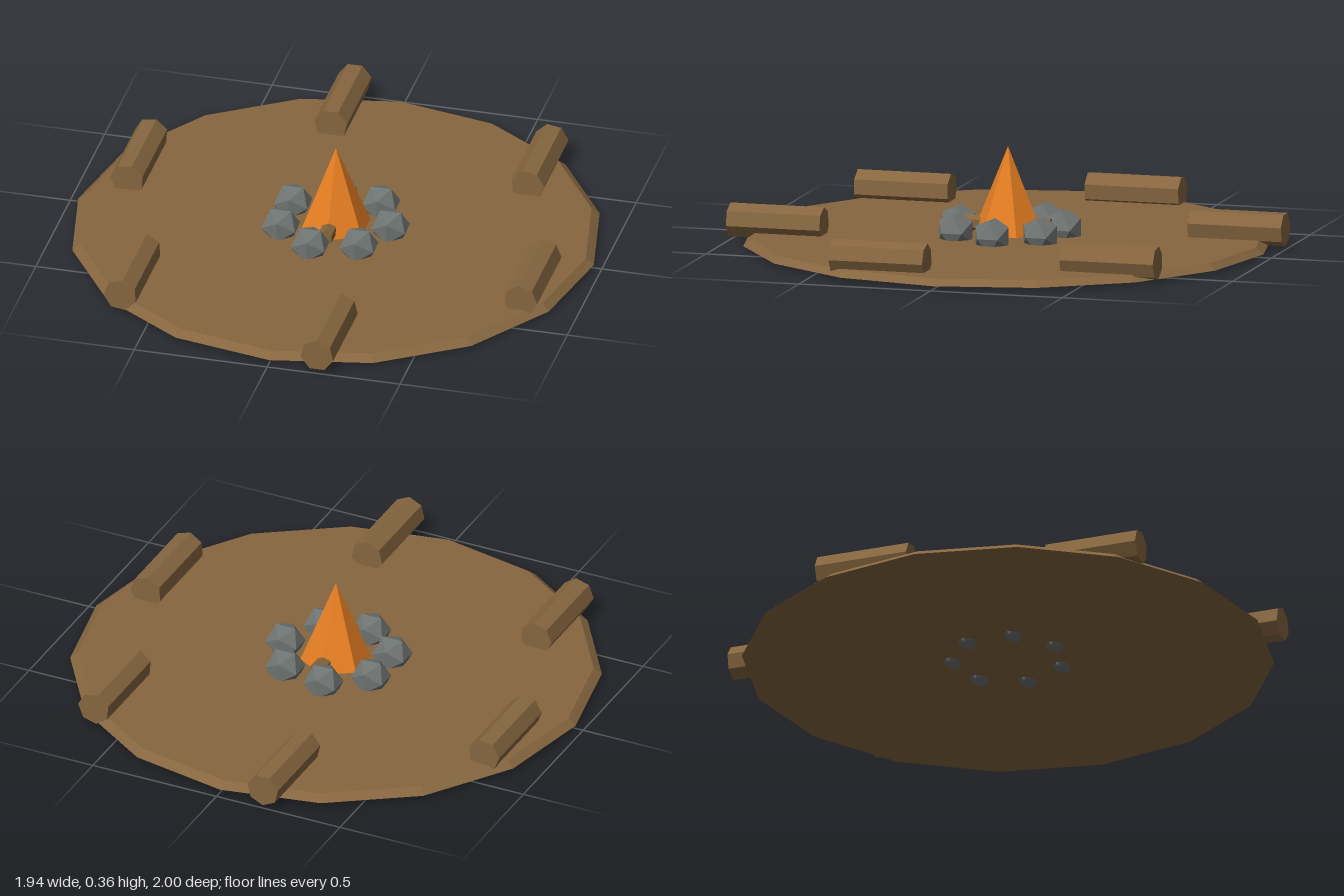
import * as THREE from 'three';

const material = (name, color) => {
  const m = new THREE.MeshStandardMaterial({ color, flatShading: true });
  m.name = name;
  return m;
};

export function createModel() {
  const group = new THREE.Group();
  const earth = material('earth brown', 0x86663f);
  const stone = material('stone grey', 0x6e7472);
  const flameOrange = material('flame orange', 0xe67e22);

  const add = (name, geometry, mat, x, y, z) => {
    const mesh = new THREE.Mesh(geometry, mat);
    mesh.name = name;
    mesh.position.set(x, y, z);
    group.add(mesh);
    return mesh;
  };

  // Bevelled clearing
  add('ground', new THREE.CylinderGeometry(0.94, 0.97, 0.024, 16), earth, 0, 0.024, 0);

  // Seat logs, all lying along z and each rolled about its own axis
  const logGeometry = new THREE.CylinderGeometry(0.063, 0.063, 0.355, 7);
  for (let i = 0; i < 6; i++) {
    const a = 0.3 + (i * Math.PI) / 3;
    const log = add(`seatLog${i + 1}`, logGeometry, earth, 0.842 * Math.cos(a), 0.074, 0.842 * Math.sin(a));
    log.rotation.set(Math.PI / 2, -a, 0);
  }

  // Ring of fire stones, sunk through the ground
  const stoneGeometry = new THREE.IcosahedronGeometry(0.074, 0);
  for (let i = 0; i < 7; i++) {
    const a = (i * Math.PI * 2) / 7;
    add(`fireStone${i + 1}`, stoneGeometry, stone, 0.205 * Math.cos(a), 0.063, 0.205 * Math.sin(a));
  }

  // Firewood poking out at the front and back of the flame
  const wood = add('firewood', new THREE.CylinderGeometry(0.03, 0.03, 0.325, 6), earth, 0, 0.075, 0);
  wood.rotation.x = Math.PI / 2;

  // Flame
  add('flame', new THREE.ConeGeometry(0.13, 0.318, 6), flameOrange, 0, 0.205, 0);

  return group;
}
